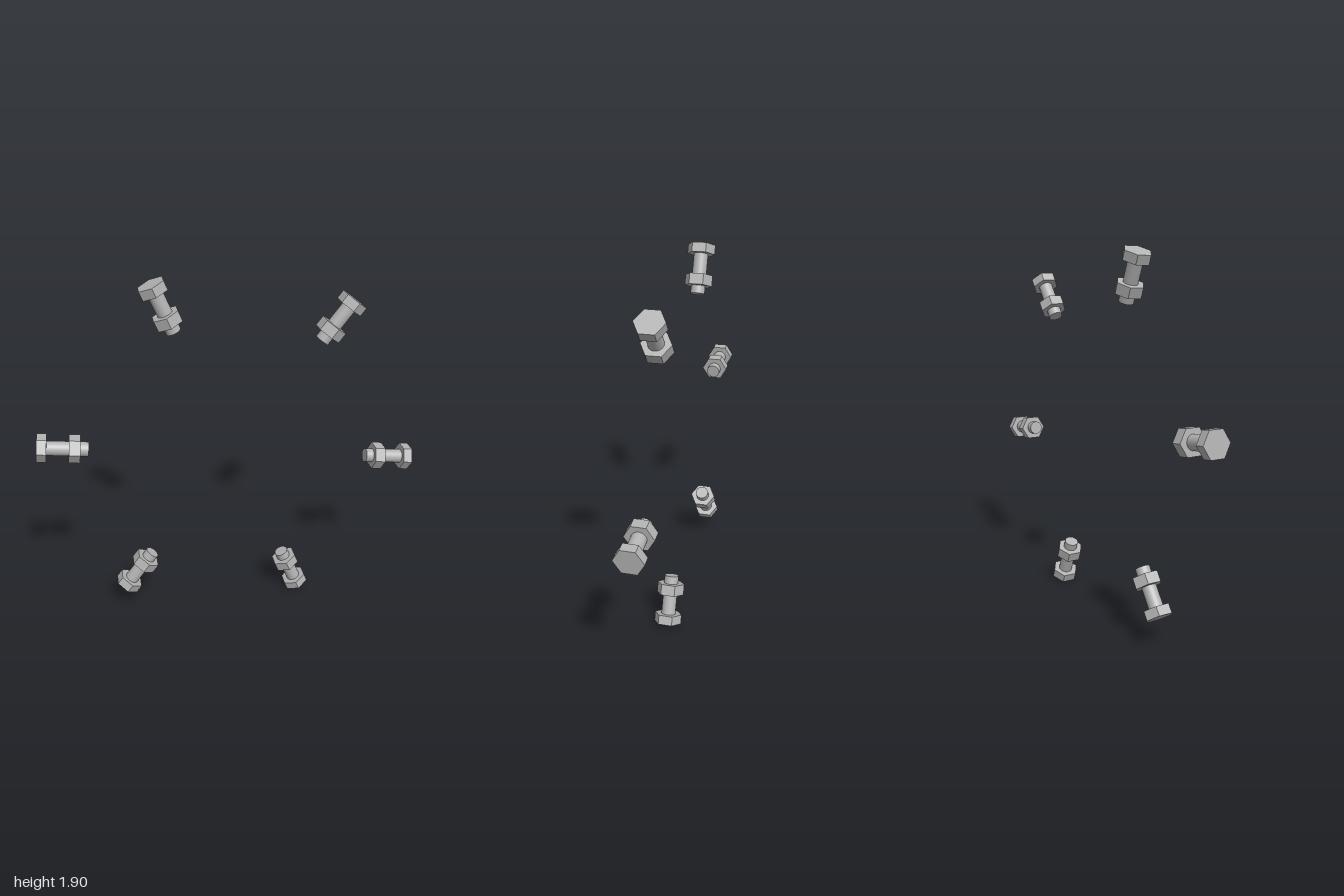
import * as THREE from 'three';

const steel = new THREE.MeshStandardMaterial({ color: 0xb3b3b3 });
steel.name = 'steel grey';

// Hexagonal prism along y with crisp faces, corners toward +z and -z
function hexPrism(r, from, to) {
  const g = new THREE.CylinderGeometry(r, r, to - from, 6).toNonIndexed();
  g.computeVertexNormals();
  return g.translate(0, (from + to) / 2, 0);
}

export function createModel() {
  const model = new THREE.Group();
  model.name = 'boltCircle';

  // Distances are measured outward from the centre of the ring
  const parts = {
    head: hexPrism(0.0722, 0.952, 1.0),
    nut: hexPrism(0.0722, 0.787, 0.843),
    shank: new THREE.CylinderGeometry(0.037, 0.037, 0.21, 32).translate(0, 0.851, 0),
  };

  // Six bolts, heads outward
  for (let i = 0; i < 6; i++) {
    const bolt = new THREE.Group();
    bolt.name = `bolt${i + 1}`;
    for (const [name, geometry] of Object.entries(parts)) {
      const mesh = new THREE.Mesh(geometry, steel);
      mesh.name = name;
      bolt.add(mesh);
    }
    bolt.position.y = 0.948;
    bolt.rotation.z = THREE.MathUtils.degToRad(-7.5 + i * 60 - 90);
    model.add(bolt);
  }
  return model;
}
